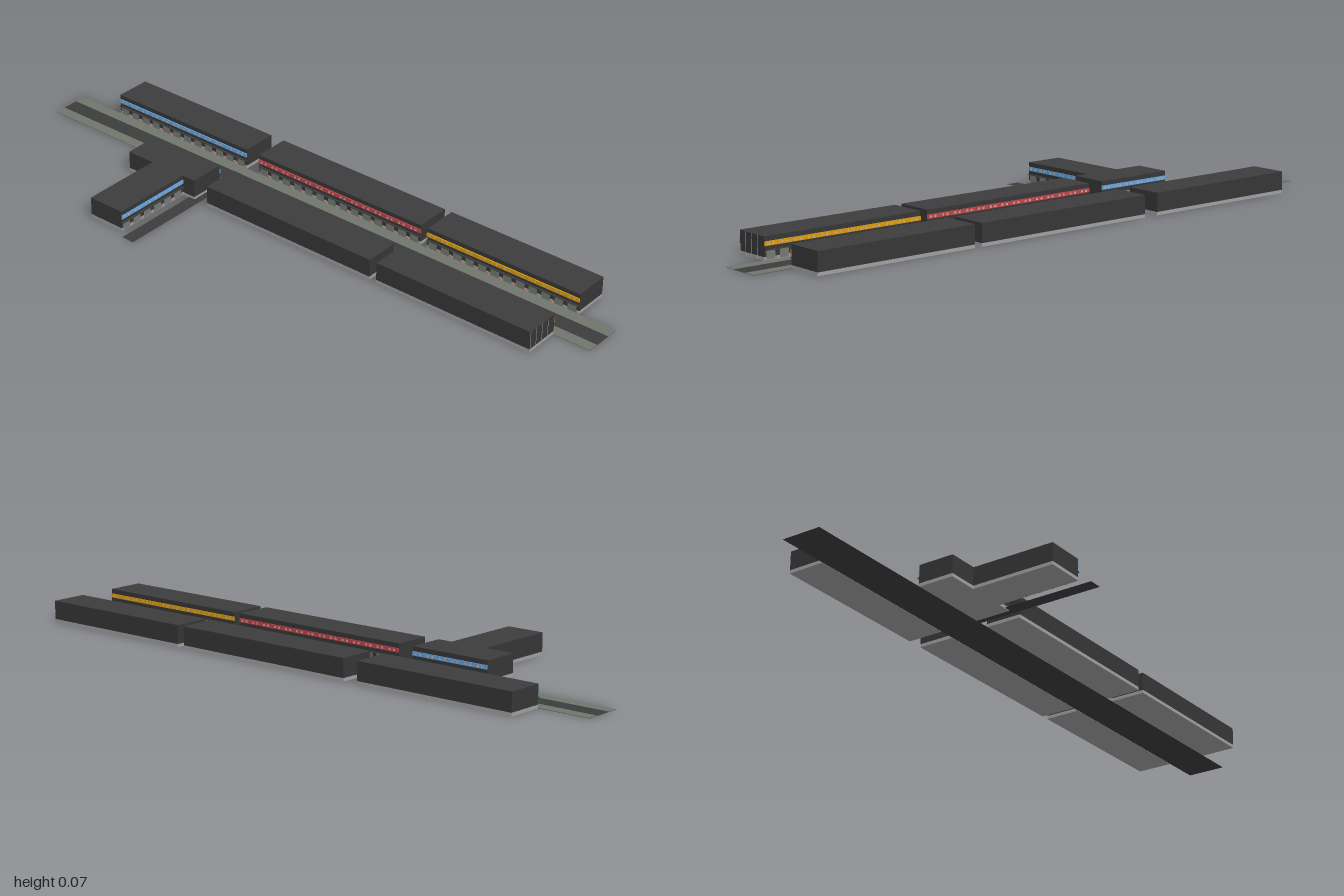
import * as THREE from 'three';

const mat = (name, color) => {
  const m = new THREE.MeshStandardMaterial({ color });
  m.name = name;
  return m;
};

export function createModel() {
  const wall = mat('charcoal wall', 0x363636);
  const asphalt = mat('asphalt and roofing', 0x3c3c3c);
  asphalt.side = THREE.DoubleSide;
  const paving = mat('paving', 0x70766e);
  const glass = mat('shop glass', 0x737a72);
  const stone = mat('base stone', 0xa0a0a0);
  const blue = mat('blue sign', 0x60a5e4);
  const red = mat('red sign', 0xc0444c);
  const amber = mat('amber sign', 0xdc9c08);
  const lamp = mat('lamp beige', 0xc9a890);
  const pink = mat('planter pink', 0xb88a88);

  const H = 0.066, BASE = 0.01, ROOF = 0.001, BAY = 0.0434, DEPTH = 0.113;
  const model = new THREE.Group();
  model.name = 'shoppingStreet';

  const box = (parent, name, material, w, h, d, x, y, z) => {
    const mesh = new THREE.Mesh(new THREE.BoxGeometry(w, h, d), material);
    mesh.position.set(x, y, z);
    mesh.name = name;
    parent.add(mesh);
    return mesh;
  };

  // Row of shops: length along local x, shop fronts on local +z
  function shopRow(name, length, depth, sign, signDepth, x, z, turn) {
    const g = new THREE.Group();
    g.name = name;
    g.position.set(x, 0, z);
    g.rotation.y = turn;
    const f = depth / 2;

    // Pale slab, dark walls, flat roof
    box(g, 'baseSlab', stone, length, BASE, depth, 0, BASE / 2, 0);
    box(g, 'walls', wall, length, H - BASE - ROOF, depth, 0, (H + BASE - ROOF) / 2, 0);
    box(g, 'roof', asphalt, length, ROOF, depth, 0, H - ROOF / 2, 0);

    // Sign band and thin canopy
    box(g, 'signBand', sign, length, 0.012, signDepth, 0, 0.046, f + signDepth / 2);
    box(g, 'canopy', asphalt, length, 0.0015, 0.007, 0, 0.0285, f + 0.0035);

    // Window, two lamps and a planter in each bay
    const n = Math.round(length / BAY), step = length / n;
    for (let i = 0; i < n; i++) {
      const c = -length / 2 + step * (i + 0.46);
      box(g, 'shopWindow', glass, 0.028, 0.025, 0.001, c, 0.0148, f + 0.0005);
      box(g, 'planter', pink, 0.006, 0.01, 0.003, c + 0.021, 0.0055, f + 0.0015);
      for (const s of [-1, 1]) {
        box(g, 'signLamp', lamp, 0.007, 0.006, 0.0006, c + s * 0.008, 0.0455, f + signDepth + 0.0002);
      }
    }
    model.add(g);
    return g;
  }

  const Q = Math.PI / 2, RIGHT = 0.0255, LEFT = 0.2605;
  // Rows on the model's right, facing +x
  const frontRow = shopRow('rightFrontShops', 0.52, DEPTH, amber, 0.003, RIGHT, 0.62, Q);
  shopRow('rightMiddleShops', 0.606, DEPTH, red, 0.003, RIGHT, 0.033, Q);
  shopRow('rightRearShops', 0.26, DEPTH, blue, 0.003, RIGHT, -0.45, Q);
  // Rows on the model's left, facing -x
  shopRow('leftFrontShops', 0.52, DEPTH, amber, 0.004, LEFT, 0.62, -Q);
  shopRow('leftMiddleShops', 0.606, DEPTH, red, 0.004, LEFT, 0.033, -Q);
  shopRow('leftRearShops', 0.52, DEPTH, blue, 0.004, LEFT, -0.579, -Q);
  // Side wing facing the lane
  shopRow('sideWing', 0.262, 0.12, blue, 0.003, -0.162, -0.426, 0);

  // Thin upright seams on the front end wall
  for (let i = 0; i < 4; i++) {
    box(frontRow, 'wallSeam', stone, 0.001, H, 0.0008, -0.2605, H / 2, -0.0545 + i * 0.027);
  }

  // Flat street surfaces: pavements lie just above the full-width road
  const strip = (name, material, x0, x1, z0, z1, y) => {
    const mesh = new THREE.Mesh(new THREE.PlaneGeometry(x1 - x0, z1 - z0), material);
    mesh.rotation.x = -Q;
    mesh.position.set((x0 + x1) / 2, y, (z0 + z1) / 2);
    mesh.name = name;
    model.add(mesh);
  };
  strip('road', asphalt, 0.08, 0.203, -1, 1, 0);
  strip('rightPavement', paving, 0.08, 0.115, -1, 1, 0.001);
  strip('leftPavement', paving, 0.167, 0.203, -1, 1, 0.001);
  strip('sideLane', asphalt, -0.318, 0.167, -0.341, -0.299, 0.002);

  return model;
}
